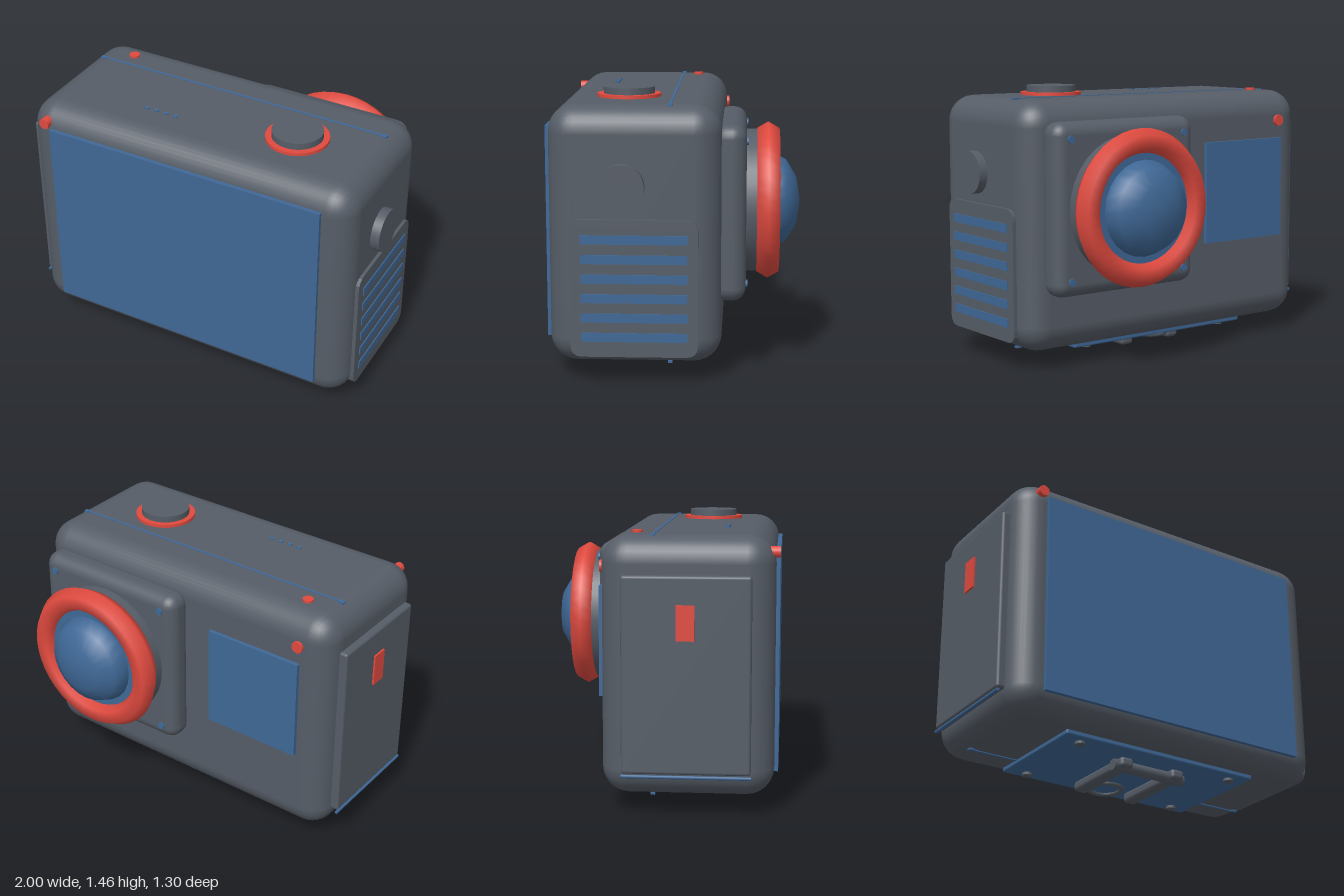
import * as THREE from 'three';
import { RoundedBoxGeometry } from 'three/addons/geometries/RoundedBoxGeometry.js';

export function createModel() {
  const model = new THREE.Group();
  const material = (name, color) => {
    const m = new THREE.MeshStandardMaterial({ color });
    m.name = name;
    return m;
  };
  const grey = material('graphite', 0x565d67);
  const blue = material('blue', 0x3f6896);
  const red = material('red', 0xe04a3f);

  const add = (name, geometry, mat, x, y, z) => {
    const mesh = new THREE.Mesh(geometry, mat);
    mesh.name = name;
    mesh.position.set(x, y, z);
    model.add(mesh);
    return mesh;
  };
  // Boxes are given by their minimum and maximum on each axis
  const box = (name, mat, [x0, x1], [y0, y1], [z0, z1], radius = 0, segments = 2) => {
    const size = [x1 - x0, y1 - y0, z1 - z0];
    const geometry = radius
      ? new RoundedBoxGeometry(...size, segments, radius)
      : new THREE.BoxGeometry(...size);
    return add(name, geometry, mat, (x0 + x1) / 2, (y0 + y1) / 2, (z0 + z1) / 2);
  };
  // Cylinder centred on a point, lying along the chosen axis
  const disc = (name, mat, axis, radius, depth, x, y, z, sides = 32) => {
    const geometry = new THREE.CylinderGeometry(radius, radius, depth, sides);
    if (axis === 'x') geometry.rotateZ(Math.PI / 2);
    if (axis === 'z') geometry.rotateX(Math.PI / 2);
    return add(name, geometry, mat, x, y, z);
  };

  // Body
  box('body', grey, [-0.95, 0.95], [0.09, 1.408], [-0.246, 0.628], 0.14, 4);

  // Main screen and its indicator
  box('mainScreen', blue, [-0.793, 0.793], [0.203, 1.293], [0.62, 0.648]);
  disc('frontIndicator', red, 'z', 0.029, 0.05, -0.824, 1.323, 0.623, 16);

  // Second screen and its indicator on the back
  box('backScreen', blue, [-0.78, -0.22], [0.575, 1.14], [-0.268, -0.24]);
  disc('backIndicator', red, 'z', 0.032, 0.04, -0.768, 1.24, -0.242, 16);

  // Lens housing with corner screws
  const lx = 0.398, ly = 0.85;
  box('lensHousing', grey, [lx - 0.454, lx + 0.454], [ly - 0.452, ly + 0.452], [-0.367, -0.205], 0.07, 3);
  for (const sx of [-1, 1]) for (const sy of [-1, 1])
    disc('lensScrew', blue, 'z', 0.02, 0.03, lx + sx * 0.367, ly + sy * 0.367, -0.361, 10);
  disc('lensBarrel', grey, 'z', 0.377, 0.11, lx, ly, -0.405);
  disc('lensGlass', blue, 'z', 0.31, 0.04, lx, ly, -0.475);
  add('lensRing', new THREE.TorusGeometry(0.347, 0.068, 6, 40), red, lx, ly, -0.48);
  const dome = new THREE.SphereGeometry(0.253, 24, 3, 0, Math.PI * 2, 0, Math.PI / 2);
  dome.scale(1, 0.6, 1);
  dome.rotateX(-Math.PI / 2);
  add('lensDome', dome, blue, lx, ly, -0.498);

  // Shutter button, indicator and microphone holes on the top
  disc('shutterRing', red, 'y', 0.166, 0.03, 0.47, 1.41, 0.246);
  disc('shutterButton', grey, 'y', 0.134, 0.06, 0.47, 1.43, 0.246);
  disc('topIndicator', red, 'y', 0.029, 0.03, -0.707, 1.405, -0.077, 16);
  for (let i = 0; i < 4; i++)
    disc('microphone', blue, 'y', 0.013, 0.02, -0.355 + i * 0.0585, 1.405, 0.365, 10);

  // Seam lines across the top and the bottom
  for (const y of [1.406, 0.09]) {
    box('seam', blue, [-0.86, 0.86], [y - 0.005, y + 0.005], [0.008, 0.021]);
    for (const s of [-1, 1])
      box('seamEnd', blue, [s * 0.852 - 0.014, s * 0.852 + 0.014], [y - 0.005, y + 0.005], [0.003, 0.026]);
  }

  // Side door with latch and hinge rod
  box('sideDoor', grey, [-0.99, -0.93], [0.22, 1.215], [-0.135, 0.513], 0.015);
  box('doorLatch', red, [-1, -0.98], [0.895, 1.073], [0.14, 0.232]);
  disc('doorHinge', blue, 'x', 0.009, 0.65, -0.983, 0.207, 0.19, 8).rotation.y = Math.PI / 2;

  // Side knob
  disc('sideKnob', grey, 'x', 0.115, 0.08, 0.958, 1.012, 0.25);

  // Grille panel, drawn as a rounded rectangle and turned to face the side
  const w = 0.321, h = 0.352, r = 0.06;
  const outline = new THREE.Shape();
  outline.moveTo(-w + r, -h);
  outline.lineTo(w - r, -h).quadraticCurveTo(w, -h, w, -h + r);
  outline.lineTo(w, h - r).quadraticCurveTo(w, h, w - r, h);
  outline.lineTo(-w + r, h).quadraticCurveTo(-w, h, -w, h - r);
  outline.lineTo(-w, -h + r).quadraticCurveTo(-w, -h, -w + r, -h);
  const panel = new THREE.ExtrudeGeometry(outline, { depth: 0.037, bevelEnabled: false, curveSegments: 4 });
  panel.rotateY(Math.PI / 2);
  add('grillePanel', panel, grey, 0.93, 0.496, 0.191);
  for (let i = 0; i < 6; i++) {
    const y = 0.247 + i * 0.1;
    box('grilleSlat', blue, [0.965, 0.973], [y - 0.023, y + 0.023], [-0.077, 0.457]);
  }

  // Base plate with screws
  box('basePlate', blue, [-0.585, 0.585], [0.068, 0.1], [-0.13, 0.511], 0.009);
  for (const x of [-0.47, 0.47]) for (const z of [-0.07, 0.45])
    disc('baseScrew', grey, 'y', 0.027, 0.02, x, 0.063, z, 12);

  // Folding mount: ring, two prongs and a cross pin
  const ring = add('mountRing', new THREE.TorusGeometry(0.088, 0.015, 8, 24), grey, 0, 0.066, -0.03);
  ring.rotation.x = Math.PI / 2;
  for (const s of [-1, 1])
    box('mountProng', grey, [s * 0.16 - 0.04, s * 0.16 + 0.04], [0.01, 0.066], [-0.04, 0.425], 0.02);
  disc('mountPin', grey, 'x', 0.031, 0.437, 0, 0.031, 0.368, 12);

  return model;
}
